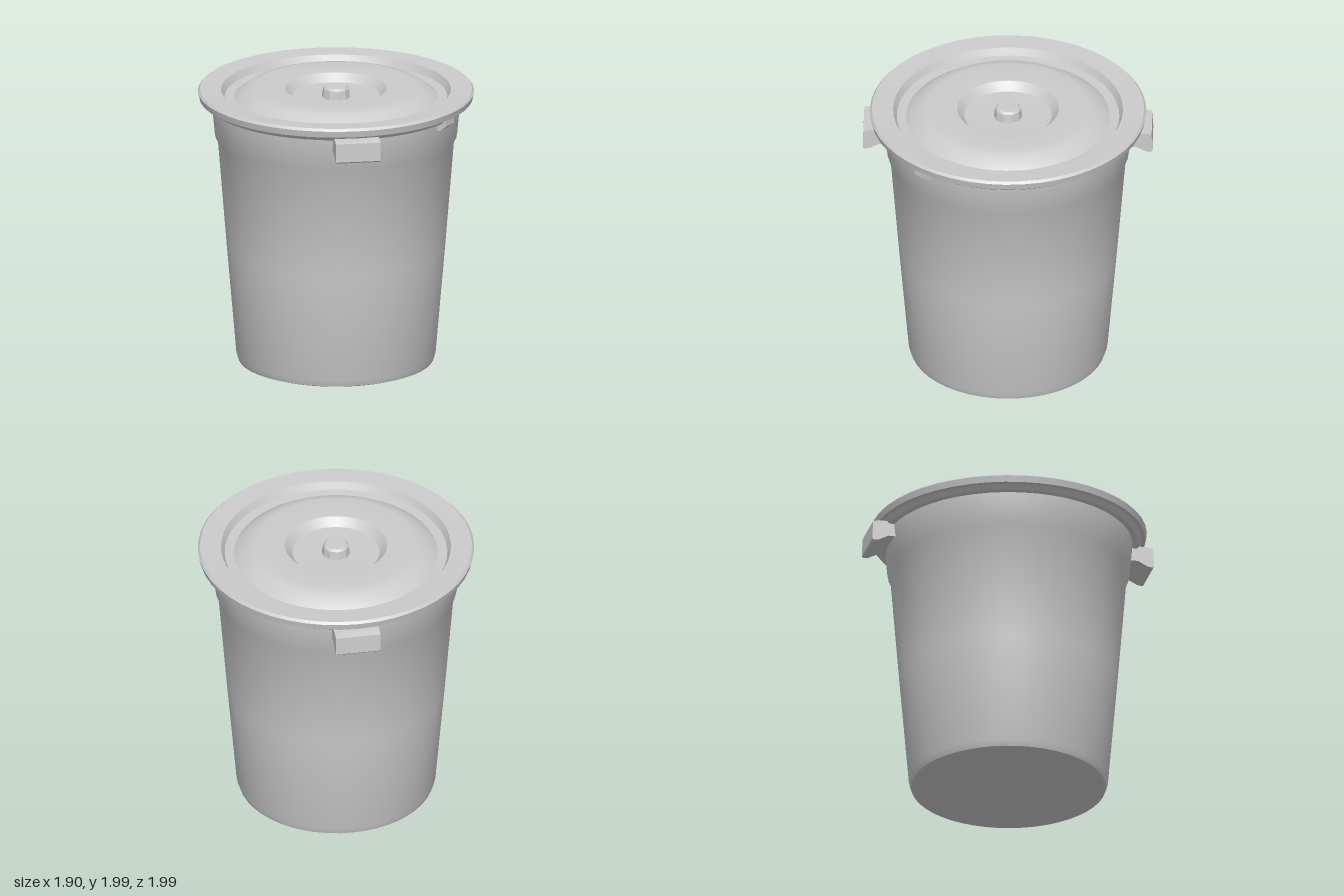
import * as THREE from 'three';
import { toCreasedNormals } from 'three/addons/utils/BufferGeometryUtils.js';

const material = new THREE.MeshStandardMaterial({ color: 0xcccccc, side: THREE.DoubleSide });

function addPart(parent, name, geometry) {
  const mesh = new THREE.Mesh(toCreasedNormals(geometry, 0.5), material);
  mesh.name = name;
  parent.add(mesh);
  return mesh;
}

// Turned part from [radius, height] pairs, running bottom to top
function turned(profile, segments) {
  return new THREE.LatheGeometry(profile.map(([r, y]) => new THREE.Vector2(r, y)), segments);
}

// Side profile of a grip, drawn as [outward, height] and extruded across its width
function gripGeometry(profile, width) {
  const shape = new THREE.Shape(profile.map(([z, y]) => new THREE.Vector2(z, y)));
  const geometry = new THREE.ExtrudeGeometry(shape, { depth: width, bevelEnabled: false });
  geometry.translate(0, 0, -width / 2);
  geometry.rotateY(-Math.PI / 2);
  return geometry;
}

export function createModel() {
  const group = new THREE.Group();
  group.name = 'liddedBucket';

  // Tapered body with a stepped collar under the rim
  addPart(group, 'bucketBody', turned([
    [0, 0.01], [0.35, 0.02], [0.63, 0.03], [0.67, 0.045], [0.685, 0.09],
    [0.75, 0.85], [0.812, 1.62], [0.832, 1.655], [0.855, 1.9],
  ], 48));

  // Lid: overhanging rim, ring groove, raised ring and central recess
  addPart(group, 'lid', turned([
    [0.83, 1.88], [0.89, 1.885], [0.915, 1.915], [0.94, 1.92], [0.95, 1.965],
    [0.935, 1.982], [0.79, 1.975], [0.765, 1.925], [0.7, 1.92], [0.61, 1.985],
    [0.55, 1.995], [0.35, 1.985], [0.3, 1.93], [0, 1.92],
  ], 48));

  // Central knob
  const knob = addPart(group, 'lidKnob', turned([
    [0.1, 1.91], [0.09, 1.985], [0.075, 2], [0, 2],
  ], 10));
  knob.position.y = -0.002;

  // Grips on the front and back, flared to a flat outer plate
  const grip = gripGeometry([
    [0.8, 1.79], [0.88, 1.79], [0.95, 1.755], [0.985, 1.75], [0.995, 1.76],
    [0.99, 1.89], [0.95, 1.9], [0.8, 1.9],
  ], 0.31);
  for (const [name, angle] of [['frontGrip', 0], ['backGrip', Math.PI]]) {
    const mesh = addPart(group, name, grip);
    mesh.position.x = 0.015;
    mesh.rotation.y = angle;
  }

  // Small catch under the rim
  const catchPivot = new THREE.Group();
  catchPivot.name = 'rimCatch';
  catchPivot.rotation.y = Math.atan2(0.7, 0.58);
  addPart(catchPivot, 'catchTab', gripGeometry([
    [0.83, 1.82], [0.87, 1.83], [0.92, 1.87], [0.92, 1.91], [0.83, 1.91],
  ], 0.1));
  group.add(catchPivot);

  return group;
}
